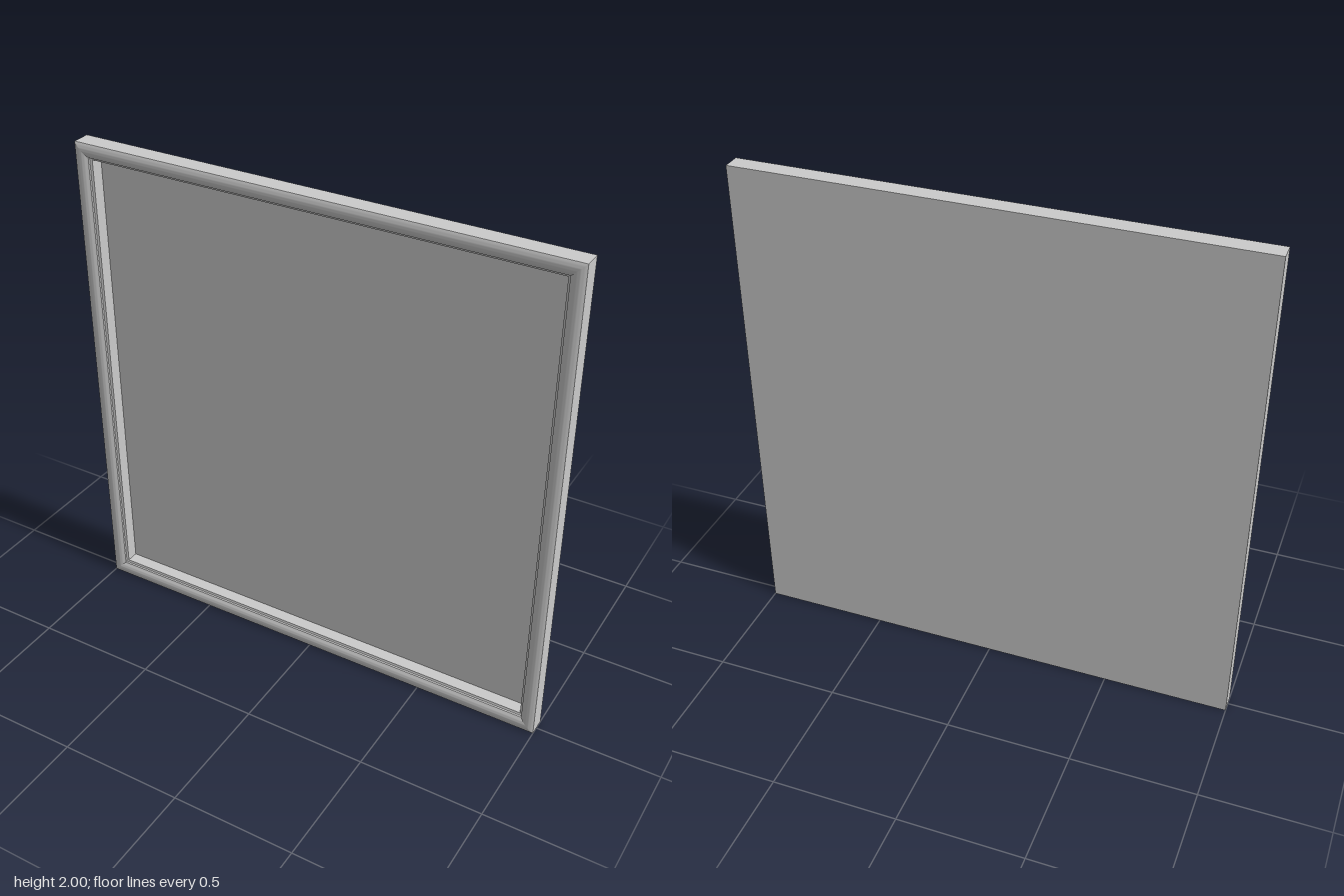
import * as THREE from 'three';
import { toCreasedNormals } from 'three/addons/utils/BufferGeometryUtils.js';

const BACK = -0.04;   // back plane
const INSET = 0.065;  // total moulding width
const FLOOR = -0.03;  // front of the recessed panel

// Moulding section: x = distance inward from the outer edge, y = depth (z)
function mouldingProfile() {
  const s = new THREE.Shape();
  s.moveTo(0, BACK);
  s.lineTo(INSET, BACK);
  s.lineTo(INSET, 0.02);
  s.lineTo(0.055, 0.022);
  s.lineTo(0.055, 0.03);
  s.quadraticCurveTo(0.03, 0.049, 0, 0.033);
  s.closePath();
  return s;
}

// One top rail, its ends mitred at 45 degrees, centred on the frame's middle
function mitredRail() {
  const geo = new THREE.ExtrudeGeometry(mouldingProfile(), {
    depth: 1, bevelEnabled: false, curveSegments: 10,
  });
  const p = geo.attributes.position;
  for (let i = 0; i < p.count; i++) {
    const reach = 1 - p.getX(i);
    const along = 1 - 2 * p.getZ(i);
    p.setXYZ(i, along * reach, reach, p.getY(i));
  }
  return toCreasedNormals(geo, 0.5);
}

export function createModel() {
  const group = new THREE.Group();
  group.name = 'framedPanel';
  const material = new THREE.MeshStandardMaterial({ color: 0xcccccc });

  // Four identical rails turned about the centre
  const railGeometry = mitredRail();
  ['topRail', 'leftRail', 'bottomRail', 'rightRail'].forEach((name, i) => {
    const rail = new THREE.Mesh(railGeometry, material);
    rail.name = name;
    rail.rotation.z = -i * Math.PI / 2;
    rail.position.y = 1;
    group.add(rail);
  });

  // Recessed panel, flush with the back of the frame
  const size = 2 - 2 * INSET;
  const panel = new THREE.Mesh(new THREE.BoxGeometry(size, size, FLOOR - BACK), material);
  panel.name = 'panel';
  panel.position.set(0, 1, (FLOOR + BACK) / 2);
  group.add(panel);

  return group;
}
